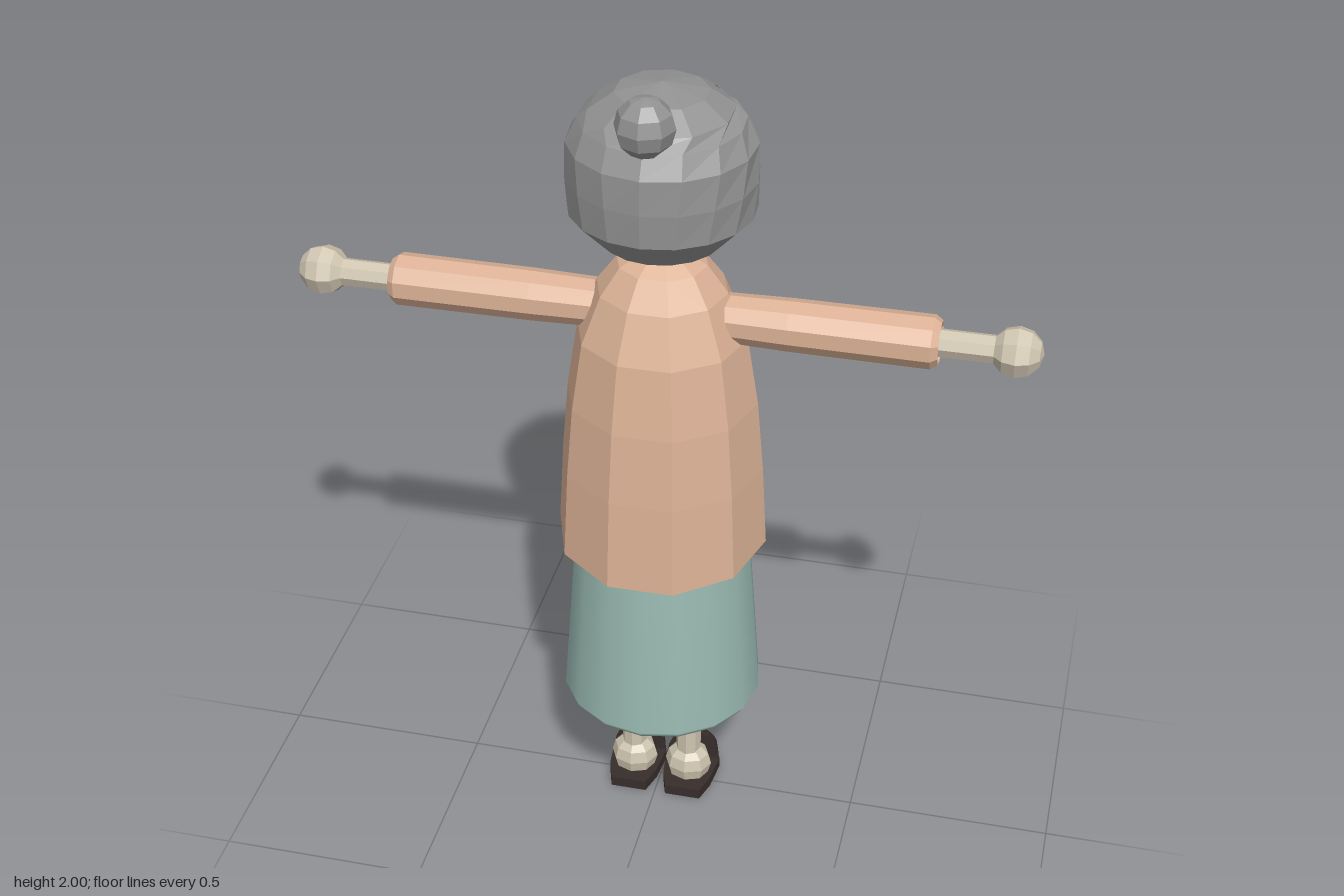
import * as THREE from 'three';

const mat = (color, flat = true) =>
  new THREE.MeshStandardMaterial({ color, flatShading: flat, side: THREE.DoubleSide, roughness: 0.9 });

// Faceted lathe with corners on the x axis; profile runs from bottom to top
const lathe = (profile, sides) =>
  new THREE.LatheGeometry(profile.map(([r, y]) => new THREE.Vector2(r, y)), sides, Math.PI / 2);

// Hair cap: rings [y, radius, frontZ], each cut off by a flat front at frontZ
function hairGeometry(rings, n = 10) {
  const pos = [], idx = [], w = n + 1;
  for (const [y, r, edge] of rings) {
    const a0 = -edge < r ? Math.acos(-edge / r) : 0;
    for (let i = 0; i <= n; i++) {
      const a = a0 + (i / n) * (2 * Math.PI - 2 * a0);
      pos.push(r * Math.sin(a), y, -r * Math.cos(a));
    }
  }
  for (let j = 0; j < rings.length - 1; j++) {
    for (let i = 0; i < w; i++) {
      const k = (i + 1) % w, a = j * w + i, b = j * w + k;
      idx.push(a, a + w, b, b, a + w, b + w);
    }
  }
  const g = new THREE.BufferGeometry();
  g.setAttribute('position', new THREE.Float32BufferAttribute(pos, 3));
  g.setIndex(idx);
  g.computeVertexNormals();
  return g;
}

export function createModel() {
  const model = new THREE.Group();
  const skin = mat(0xcfc5b0), cloth = mat(0xdcb296), hair = mat(0x929292), dark = mat(0x382e2b);
  const skirtMat = mat(0x9abab2, false);

  const add = (name, geo, material, x = 0, y = 0, z = 0, parent = model) => {
    const m = new THREE.Mesh(geo, material);
    m.name = name;
    m.position.set(x, y, z);
    parent.add(m);
    return m;
  };

  // Head and neck
  add('head', lathe([[0, 1.58], [0.125, 1.59], [0.19, 1.675], [0.19, 1.83], [0.125, 1.92], [0, 1.93]], 10), skin);
  add('neck', new THREE.CylinderGeometry(0.045, 0.045, 0.12, 10), skin, 0, 1.55, 0);
  add('collar', new THREE.CylinderGeometry(0.052, 0.055, 0.03, 10), cloth, 0, 1.565, 0);

  // Hair cap, swept back from the face
  add('hair', hairGeometry([
    [1.58, 0.001, -1], [1.592, 0.14, -0.03], [1.67, 0.213, -0.045], [1.75, 0.217, -0.075], [1.83, 0.213, -0.11],
    [1.88, 0.186, -0.125], [1.905, 0.163, -1], [1.945, 0.105, -1], [1.965, 0.001, -1],
  ]), hair, 0.003);

  // Fringe with pointed locks over the forehead
  const fringe = new THREE.CylinderGeometry(0.14, 0.19, 0.06, 6, 1, true, Math.PI - 0.8, 1.6);
  const fp = fringe.attributes.position;
  for (let i = 0; i < fp.count; i++) {
    if (fp.getY(i) < 0 && i % 2 === 0) fp.setXYZ(i, fp.getX(i) * 0.9, 0, fp.getZ(i) * 0.9);
  }
  add('fringe', fringe, hair, 0.003, 1.89, 0);
  add('hairBun', new THREE.SphereGeometry(0.068, 8, 6), hair, 0.003, 1.933, 0.16);

  // Jacket with a hem that rises towards the front
  const jacket = lathe([[0.255, 0.795], [0.243, 1.0], [0.227, 1.18], [0.2, 1.35], [0.153, 1.465], [0.105, 1.53], [0.05, 1.56]], 10);
  jacket.scale(1, 1, 0.95);
  const jp = jacket.attributes.position;
  for (let i = 0; i < jp.count; i++) {
    if (jp.getY(i) < 0.8) jp.setY(i, 0.795 - 0.11 * jp.getZ(i));
  }
  add('jacket', jacket, cloth, 0.004, 0, 0.004);

  // Buttons down the front
  [[1.45, -0.148], [1.355, -0.18], [1.235, -0.2], [1.11, -0.211], [0.965, -0.219]].forEach(([y, z]) => {
    add('button', new THREE.SphereGeometry(0.018, 8, 6), dark, 0.004, y, z).scale.z = 0.6;
  });

  // Skirt: open, with a folded hem and inner wall
  add('skirt', lathe([[0.2, 0.85], [0.19, 0.85], [0.222, 0.335], [0.235, 0.325], [0.246, 0.342], [0.212, 0.8], [0.208, 0.85]], 16),
    skirtMat, 0.004);

  // Sole outline, toe towards the front
  const sole = new THREE.Shape([[-0.045, -0.075], [0.045, -0.075], [0.062, -0.02], [0.07, 0.06], [0.045, 0.115],
    [0, 0.135], [-0.045, 0.115], [-0.07, 0.06], [-0.062, -0.02]].map(([x, y]) => new THREE.Vector2(x, y)));

  for (const side of [-1, 1]) {
    const label = side > 0 ? 'right' : 'left';

    // Arm: sleeve, forearm and hand, built upright and turned sideways
    const arm = new THREE.Group();
    arm.name = label + 'Arm';
    arm.position.y = 1.4;
    arm.rotation.z = -side * Math.PI / 2;
    model.add(arm);
    add('sleeve', lathe([[0.056, 0.1], [0.061, 0.3], [0.062, 0.622], [0.05, 0.638], [0.042, 0.625], [0.042, 0.5]], 10), cloth, 0, 0, 0, arm);
    add('forearm', new THREE.CylinderGeometry(0.033, 0.033, 0.4, 8), skin, 0, 0.6, 0, arm);
    add('hand', new THREE.SphereGeometry(0.06, 8, 6), skin, 0, 0.808, 0, arm);

    // Leg, ankle and shoe
    const leg = new THREE.Group();
    leg.name = label + 'Leg';
    leg.position.x = side * 0.071 + 0.002;
    model.add(leg);
    add('shin', new THREE.CylinderGeometry(0.032, 0.032, 0.75, 8), skin, 0, 0.455, 0, leg);
    add('ankle', new THREE.SphereGeometry(0.06, 8, 6), skin, 0, 0.06, 0, leg).scale.z = 0.87;
    const soleGeo = new THREE.ExtrudeGeometry(sole, { depth: 0.028, bevelEnabled: false });
    add('sole', soleGeo.rotateX(-Math.PI / 2), dark, 0, 0, 0, leg);

    // Toe cap: quarter dome closed by a flat back
    const toe = new THREE.SphereGeometry(1, 10, 5, 0, Math.PI * 2, 0, Math.PI / 2);
    const tp = toe.attributes.position;
    for (let i = 0; i < tp.count; i++) tp.setZ(i, Math.min(tp.getZ(i), 0));
    toe.scale(0.069, 0.08, 0.075);
    add('toeCap', toe, dark, 0, 0.025, -0.06, leg);
  }
  return model;
}
